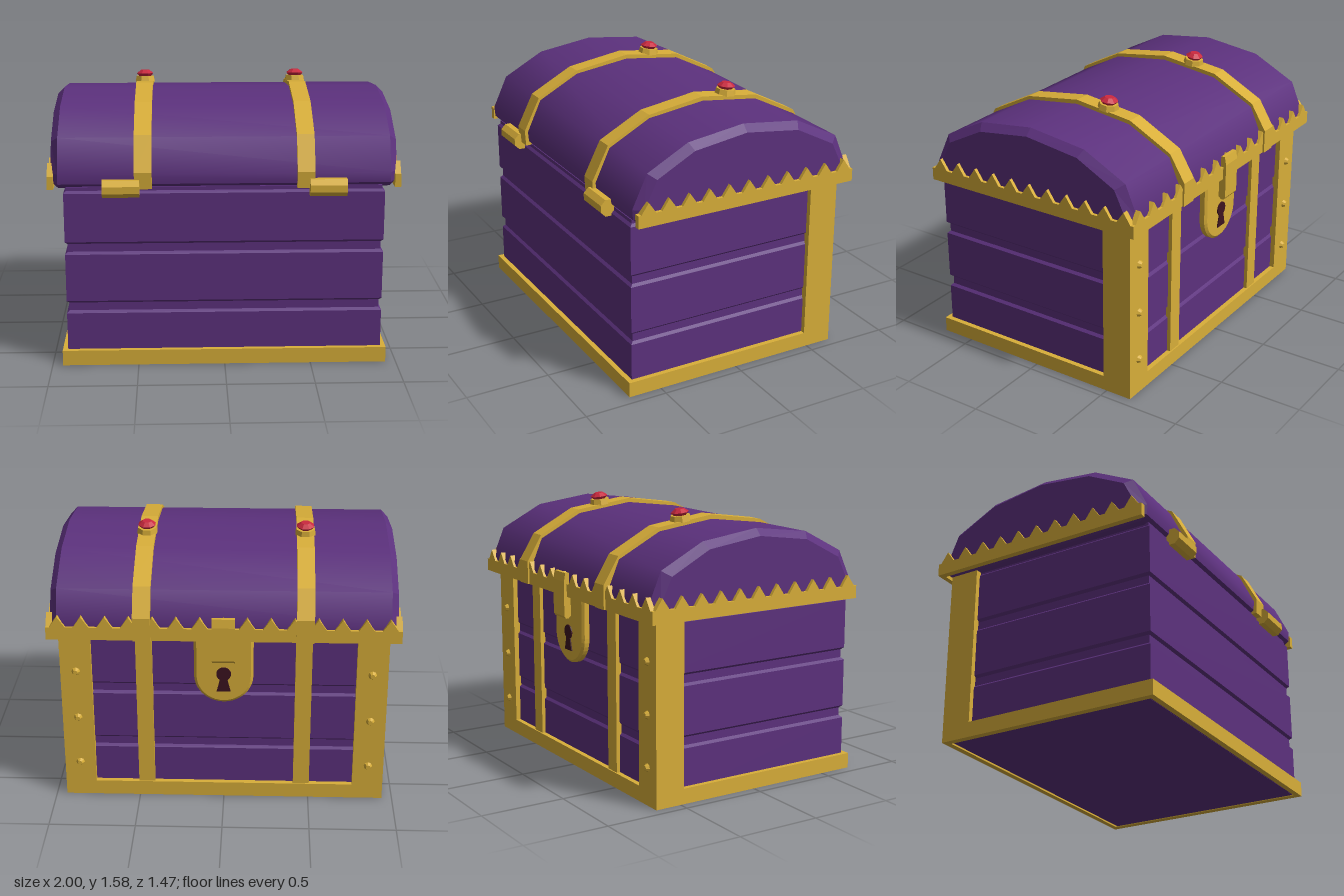
import * as THREE from 'three';
import { toCreasedNormals } from 'three/addons/utils/BufferGeometryUtils.js';

const mat = (name, color) => {
  const m = new THREE.MeshStandardMaterial({ color });
  m.name = name;
  return m;
};

// Faceted normals for low-poly pieces
function flat(geometry) {
  const g = geometry.index ? geometry.toNonIndexed() : geometry;
  g.computeVertexNormals();
  return g;
}

// Skin convex rings of [x, y, z] points, with optional caps at either end
function loft(rings, capStart = true, capEnd = true) {
  const pos = [];
  const n = rings[0].length;
  const tri = (a, b, c) => pos.push(...a, ...b, ...c);
  for (let i = 0; i < rings.length - 1; i++) {
    for (let j = 0; j < n; j++) {
      const k = (j + 1) % n;
      tri(rings[i][j], rings[i][k], rings[i + 1][k]);
      tri(rings[i][j], rings[i + 1][k], rings[i + 1][j]);
    }
  }
  const first = rings[0], last = rings[rings.length - 1];
  for (let j = 1; j < n - 1; j++) {
    if (capStart) tri(first[0], first[j + 1], first[j]);
    if (capEnd) tri(last[0], last[j], last[j + 1]);
  }
  const g = new THREE.BufferGeometry();
  g.setAttribute('position', new THREE.Float32BufferAttribute(pos, 3));
  g.computeVertexNormals();
  return g;
}

const shapeOf = (points) => new THREE.Shape(points.map(([x, y]) => new THREE.Vector2(x, y)));
const extrude = (shape, depth) => new THREE.ExtrudeGeometry(shape, { depth, bevelEnabled: false, curveSegments: 10 });

// Extrude a (z, y) outline along x, from x0
function extrudeAlongX(points, x0, depth) {
  return extrude(shapeOf(points.map(([z, y]) => [-z, y])), depth).rotateY(Math.PI / 2).translate(x0, 0, 0);
}

// Strip with a row of pointed teeth along its upper edge
function toothedOutline(a, b, count) {
  const pts = [[a, 1.05], [b, 1.05], [b, 1.125]];
  const step = (b - a) / count;
  for (let i = count - 1; i >= 0; i--) {
    const c = a + (i + 0.5) * step;
    pts.push([c + 0.045, 1.125], [c, 1.19], [c - 0.045, 1.125]);
  }
  pts.push([a, 1.125]);
  return pts;
}

export function createModel() {
  const chest = new THREE.Group();
  chest.name = 'chest';
  const purple = mat('purple wood', 0x5c317d);
  const gold = mat('gold', 0xd8ae39);
  const red = mat('red gem', 0xc8283e);
  const dark = mat('dark keyhole', 0x3c1420);

  const add = (name, geometry, material, parent = chest) => {
    const m = new THREE.Mesh(geometry, material);
    m.name = name;
    parent.add(m);
    return m;
  };
  const box = (name, material, x0, x1, y0, y1, z0, z1) =>
    add(name, new THREE.BoxGeometry(x1 - x0, y1 - y0, z1 - z0)
      .translate((x0 + x1) / 2, (y0 + y1) / 2, (z0 + z1) / 2), material);

  // Body core with three bevelled layers of boards
  box('bodyCore', purple, -0.895, 0.895, 0.004, 1.06, -0.615, 0.655);
  const boardRing = (y, d) => [[1, 1], [1, -1], [-1, -1], [-1, 1]]
    .map(([sx, sz]) => [sx * (0.91 - d), y, 0.02 + sz * (0.65 - d)]);
  for (const [y0, y1] of [[0.004, 0.325], [0.37, 0.68], [0.725, 1.04]]) {
    add('boardLayer', loft([boardRing(y0, 0.016), boardRing(y0 + 0.015, 0),
      boardRing(y1 - 0.015, 0), boardRing(y1, 0.016)]), purple);
  }

  // Base band around the foot
  for (const s of [-1, 1]) {
    const [a, b] = s < 0 ? [-0.94, -0.9] : [0.9, 0.94];
    box('baseSide', gold, a, b, 0, 0.09, -0.66, 0.7);
  }
  box('baseHingeSide', gold, -0.9, 0.9, 0, 0.09, 0.665, 0.7);
  box('baseLockSide', gold, -0.9, 0.9, 0, 0.09, -0.66, -0.625);

  // Corner plates, rivets and upright straps on the lock side
  for (const s of [-1, 1]) {
    const span = (a, b) => (s > 0 ? [a, b] : [-b, -a]);
    box('cornerSidePlate', gold, ...span(0.9, 0.94), 0.09, 1.05, -0.66, -0.48);
    box('cornerLockPlate', gold, ...span(0.76, 0.9), 0.09, 1.05, -0.66, -0.62);
    box('uprightStrap', gold, ...span(0.41, 0.505), 0.09, 1.05, -0.652, -0.62);
    for (const y of [0.22, 0.52, 0.82]) {
      const rivet = add('rivet', flat(new THREE.CylinderGeometry(0.014, 0.027, 0.022, 8)), gold);
      rivet.rotation.x = -Math.PI / 2;
      rivet.position.set(s * 0.85, y, -0.668);
    }
  }

  // Domed lid: smooth barrel with bevelled flat ends
  const outer = [[-0.66, 1.05], [-0.7, 1.08], [-0.705, 1.15], [-0.63, 1.325], [-0.365, 1.46],
    [-0.01, 1.505], [0.335, 1.46], [0.585, 1.33], [0.675, 1.14], [0.67, 1.08], [0.63, 1.05]];
  const inner = [[-0.63, 1.08], [-0.65, 1.09], [-0.655, 1.15], [-0.585, 1.295], [-0.345, 1.42],
    [-0.01, 1.465], [0.315, 1.42], [0.545, 1.3], [0.625, 1.14], [0.62, 1.09], [0.6, 1.08]];
  const ring = (profile, x) => profile.map(([z, y]) => [x, y, z]);
  add('lidBarrel', toCreasedNormals(loft([ring(outer, -0.94), ring(outer, 0.94)], false, false), 0.77), purple);
  add('lidRightEnd', loft([ring(inner, -0.98), ring(outer, -0.94)], true, false), purple);
  add('lidLeftEnd', loft([ring(outer, 0.94), ring(inner, 0.98)], false, true), purple);

  // Toothed trim on both ends and the lock side
  const sideTrim = toothedOutline(-0.72, 0.67, 11);
  add('rightTrim', extrudeAlongX(sideTrim, -1, 0.035), gold);
  add('leftTrim', extrudeAlongX(sideTrim, 0.965, 0.035), gold);
  add('lockSideTrim', extrude(shapeOf(toothedOutline(-1, 1, 15)), 0.03).translate(0, 0, -0.72), gold);

  // Lid straps, hinges and gems
  const strap = [[-0.73, 1.05], [-0.73, 1.19], [-0.635, 1.345], [-0.37, 1.483], [-0.01, 1.53],
    [0.335, 1.48], [0.595, 1.345], [0.695, 1.15], [0.69, 1.055],
    [0.64, 1.055], [0.64, 1.14], [0.56, 1.31], [0.32, 1.44], [-0.01, 1.485],
    [-0.35, 1.44], [-0.61, 1.305], [-0.685, 1.15], [-0.685, 1.05]];
  for (const s of [-1, 1]) {
    add('lidStrap', extrudeAlongX(strap, s * 0.46 - 0.05, 0.1), gold);
    const hinge = add('hinge', flat(new THREE.CylinderGeometry(0.053, 0.053, 0.21, 8)
      .rotateY(Math.PI / 8).rotateZ(Math.PI / 2)), gold);
    hinge.position.set(s * 0.585, 1.06, 0.686);

    const jewel = new THREE.Group();
    jewel.name = 'jewel';
    jewel.position.set(s * 0.46, 1.505, -0.19);
    jewel.rotation.x = -0.13;
    chest.add(jewel);
    add('gemSetting', flat(new THREE.CylinderGeometry(0.056, 0.063, 0.035, 8)
      .rotateY(Math.PI / 8).translate(0, 0.014, 0)), gold, jewel);
    const cut = [[0.038, 0.03], [0.053, 0.048], [0.027, 0.068], [0, 0.068]]
      .map(([r, y]) => new THREE.Vector2(r, y));
    add('gem', flat(new THREE.LatheGeometry(cut, 8).rotateY(Math.PI / 8)), red, jewel);
  }

  // Lock plate with a rounded foot
  const plate = new THREE.Shape();
  plate.moveTo(0.155, 1.04);
  plate.lineTo(-0.155, 1.04);
  plate.lineTo(-0.155, 0.81);
  plate.absarc(0, 0.81, 0.155, Math.PI, Math.PI * 2, false);
  add('lockPlate', flat(new THREE.ExtrudeGeometry(plate, {
    depth: 0.03, bevelSize: 0.015, bevelThickness: 0.012, bevelSegments: 1, curveSegments: 10,
  }).translate(0, 0, -0.663)), gold);

  // Keyhole: round top over a flared slot
  const keyhole = new THREE.Shape();
  keyhole.moveTo(-0.04, 0.715);
  keyhole.lineTo(0.04, 0.715);
  keyhole.lineTo(0.02, 0.795);
  keyhole.absarc(0, 0.825, 0.042, -1.05, Math.PI + 1.05, false);
  keyhole.lineTo(-0.02, 0.795);
  add('keyhole', extrude(keyhole, 0.008).translate(0, 0, -0.682), dark);

  // Hasp hanging from the lid over the lock
  add('hasp', extrudeAlongX([[-0.695, 1.05], [-0.695, 0.935], [-0.71, 0.92], [-0.727, 0.92],
    [-0.738, 0.935], [-0.738, 1.14], [-0.728, 1.19], [-0.705, 1.19]], -0.065, 0.13), gold);
  return chest;
}
